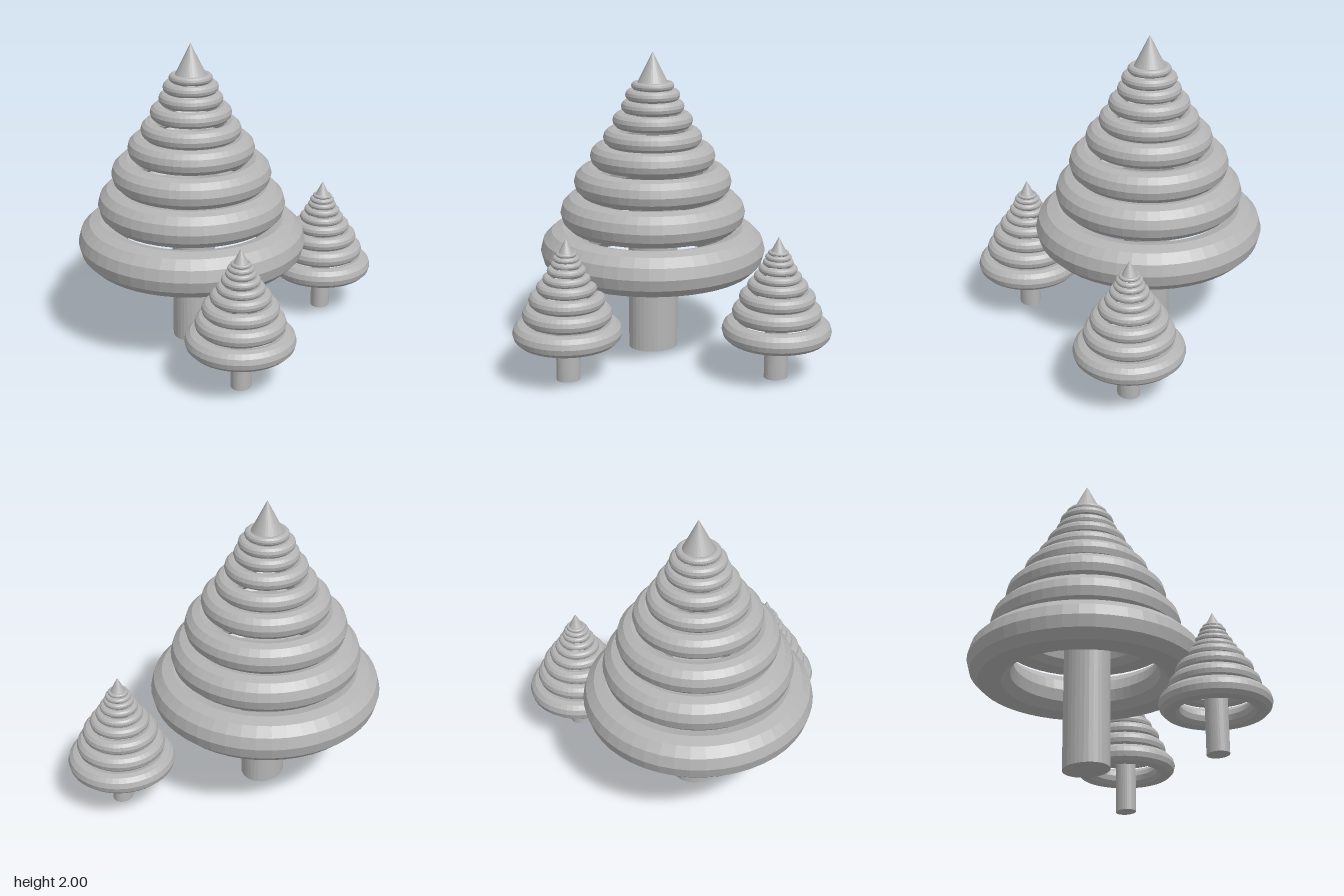
import * as THREE from 'three';

// Foliage rings from bottom to top: centre height, tube radius, outer radius
const RINGS = [
  [0.692, 0.147, 0.747],
  [0.945, 0.118, 0.612],
  [1.15, 0.1, 0.52],
  [1.32, 0.08, 0.412],
  [1.443, 0.06, 0.325],
  [1.555, 0.052, 0.263],
  [1.645, 0.042, 0.207],
  [1.72, 0.037, 0.179],
  [1.78, 0.026, 0.14],
];

export function createModel() {
  const grey = new THREE.MeshStandardMaterial({ color: 0xb4b4b4, flatShading: true });
  grey.name = 'plain grey';

  const part = (name, geometry, parent) => {
    const mesh = new THREE.Mesh(geometry, grey);
    mesh.name = name;
    parent.add(mesh);
    return mesh;
  };

  const makeTree = (name, x, y, z, scale) => {
    const tree = new THREE.Group();
    tree.name = name;

    // Oval trunk, hidden inside the rings at its top
    const trunk = part('trunk', new THREE.CylinderGeometry(1, 1, 1, 32).scale(0.14, 1, 0.165), tree);
    trunk.position.set(0.013, 0.5, 0);

    // Stacked hollow foliage rings
    RINGS.forEach(([height, tube, outer], i) => {
      const geometry = new THREE.TorusGeometry(outer - tube, tube, 12, 48).rotateX(-Math.PI / 2);
      part('foliageRing' + (i + 1), geometry, tree).position.y = height;
    });

    // Pointed tip
    part('tip', new THREE.ConeGeometry(0.105, 0.21, 32), tree).position.y = 1.895;

    tree.position.set(x, y, z);
    tree.scale.setScalar(scale);
    return tree;
  };

  const model = new THREE.Group();
  model.name = 'trees';
  model.add(
    makeTree('largeTree', -0.185, 0, -0.025, 1),
    makeTree('frontSmallTree', 0.308, 0.01, 0.64, 0.462),
    makeTree('backSmallTree', 0.578, 0.01, -0.645, 0.462),
  );
  return model;
}
